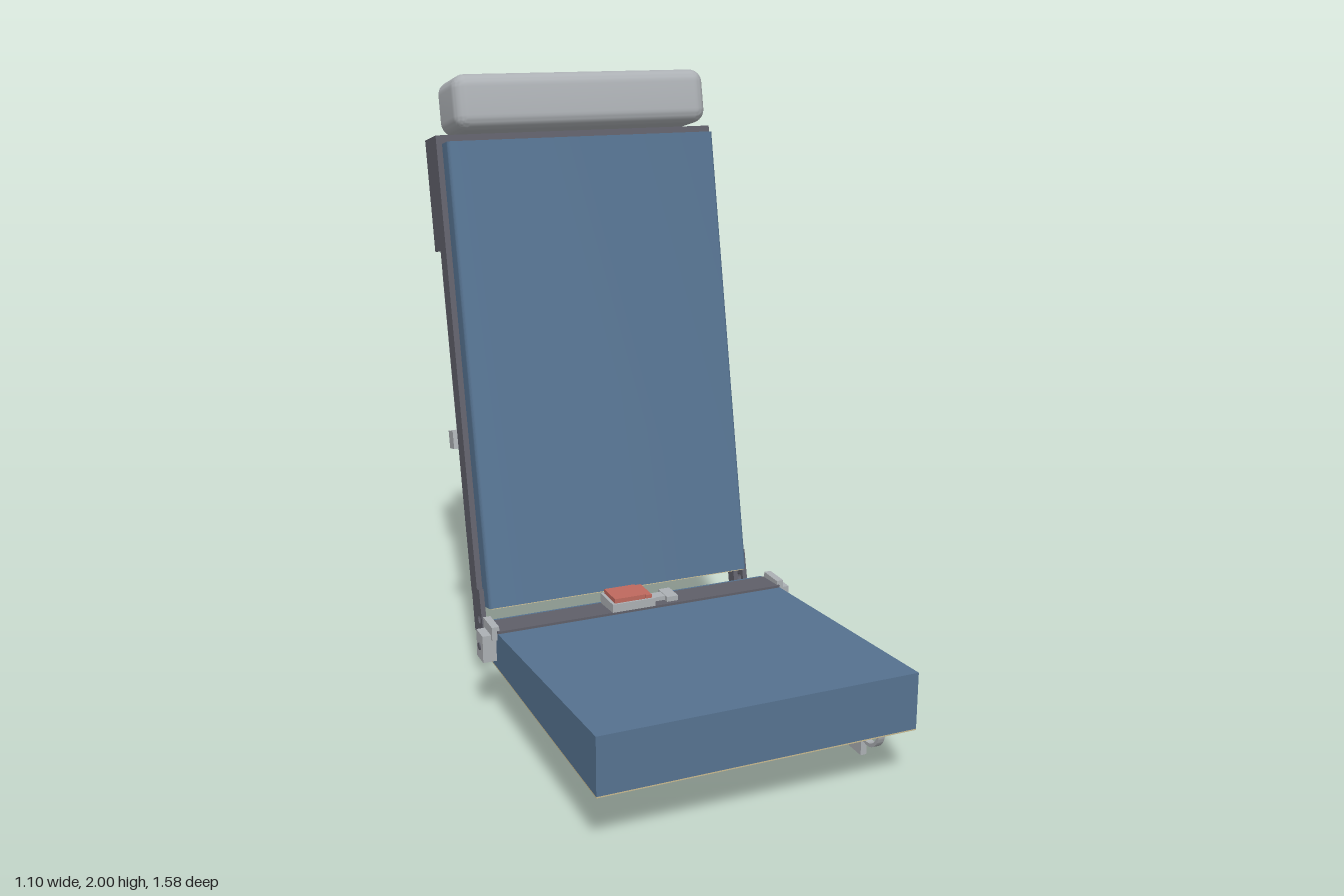
import * as THREE from 'three';
import { RoundedBoxGeometry } from 'three/addons/geometries/RoundedBoxGeometry.js';
import { toCreasedNormals } from 'three/addons/utils/BufferGeometryUtils.js';

const mat = (name, color) => Object.assign(new THREE.MeshStandardMaterial({ color }), { name });

export function createModel() {
  const blue = mat('blue upholstery', 0x567391);
  const slate = mat('slate shell', 0x60606a);
  const dark = mat('dark screen', 0x50515a);
  const grey = mat('light grey', 0xacb0b4);
  const steel = mat('steel', 0x9a9da2);
  const beige = mat('beige underside', 0xc8ba90);
  const gold = mat('gold cylinder', 0xc8a050);
  const red = mat('red button', 0xbf695e);

  const model = new THREE.Group();
  model.name = 'passengerSeat';

  const add = (parent, name, geometry, material) => {
    const m = new THREE.Mesh(geometry, material);
    m.name = name;
    parent.add(m);
    return m;
  };
  // Box given by its minimum and maximum on each axis
  const box = (parent, name, material, [x0, x1], [y0, y1], [z0, z1]) => {
    const m = add(parent, name, new THREE.BoxGeometry(x1 - x0, y1 - y0, z1 - z0), material);
    m.position.set((x0 + x1) / 2, (y0 + y1) / 2, (z0 + z1) / 2);
    return m;
  };
  // Side profile of [z, y] points, extruded from x0 to x1, with optional round hole [z, y, r]
  const profile = (parent, name, material, points, x0, x1, hole) => {
    const shape = new THREE.Shape(points.map(([z, y]) => new THREE.Vector2(z, y)));
    if (hole) shape.holes.push(new THREE.Path().absarc(...hole, 0, Math.PI * 2, true));
    const g = new THREE.ExtrudeGeometry(shape, { depth: x1 - x0, bevelEnabled: false, curveSegments: 10 });
    g.rotateY(-Math.PI / 2).translate(x1, 0, 0);
    return add(parent, name, g, material);
  };
  // Cylinder lying along z
  const rodZ = (name, material, r, x, y, z0, z1) => {
    const g = new THREE.CylinderGeometry(r, r, z1 - z0, 24).rotateX(Math.PI / 2);
    add(model, name, g, material).position.set(x, y, (z0 + z1) / 2);
  };

  // Seat cushion: wedge with beige underside and base plate
  profile(model, 'seatCushion', blue, [[-0.21, 0.182], [0.79, 0.182], [0.79, 0.36], [-0.21, 0.295]], -0.5, 0.5);
  box(model, 'seatUnderside', beige, [-0.5, 0.5], [0.178, 0.182], [-0.21, 0.79]);
  box(model, 'seatBasePlate', slate, [-0.495, 0.495], [0.172, 0.178], [-0.19, 0.67]);

  // Lap belt following the cushion slope
  profile(model, 'lapBelt', slate, [[-0.18, 0.29], [-0.07, 0.29], [-0.07, 0.312], [-0.18, 0.305]], -0.5, 0.5);
  box(model, 'buckleBody', grey, [-0.11, 0.04], [0.305, 0.34], [-0.18, -0.07]);
  box(model, 'buckleButton', red, [-0.1, 0.008], [0.335, 0.355], [-0.173, -0.077]);
  box(model, 'buckleButtonEnd', red, [0.01, 0.03], [0.335, 0.352], [-0.173, -0.077]);
  box(model, 'buckleTongue', grey, [0.03, 0.1], [0.312, 0.326], [-0.145, -0.105]);
  box(model, 'tongueLoop', grey, [0.09, 0.13], [0.308, 0.328], [-0.163, -0.088]);

  // Back group, reclined
  const back = new THREE.Group();
  back.name = 'backrest';
  back.position.set(0, 0.31, -0.26);
  back.rotation.x = -0.208;
  model.add(back);

  // Back cushion with eased front edges
  const w = 0.468, c = 0.015;
  const plan = new THREE.Shape();
  plan.moveTo(-w, 0.07).lineTo(-w, c).quadraticCurveTo(-w, 0, -w + c, 0);
  plan.lineTo(w - c, 0).quadraticCurveTo(w, 0, w, c).lineTo(w, 0.07);
  const cushion = new THREE.ExtrudeGeometry(plan, { depth: 1.52, bevelEnabled: false, curveSegments: 5 });
  cushion.rotateX(-Math.PI / 2);
  add(back, 'backCushion', toCreasedNormals(cushion, 0.6), blue);
  box(back, 'backCushionUnderside', beige, [-0.46, 0.46], [-0.004, 0.001], [-0.068, -0.008]);

  // Shell: body, upper housing, table recess and lower pocket
  box(back, 'shellBody', slate, [-0.487, 0.487], [0.045, 1.548], [-0.136, -0.068]);
  box(back, 'shellUpperHousing', slate, [-0.487, 0.487], [1.18, 1.548], [-0.204, -0.13]);
  box(back, 'tableRecess', slate, [-0.44, 0.44], [0.5, 1.19], [-0.158, -0.13]);
  box(back, 'lowerPocket', slate, [-0.41, 0.41], [0.045, 0.54], [-0.22, -0.13]);

  // Headrest: rounded front, flat back
  const hg = new RoundedBoxGeometry(0.88, 0.18, 0.26, 5, 0.045);
  const hp = hg.attributes.position;
  for (let i = 0; i < hp.count; i++) hp.setZ(i, Math.max(hp.getZ(i), -0.065));
  add(back, 'headrest', toCreasedNormals(hg, 0.7), grey).position.set(0, 1.642, -0.095);

  // Screen with raised frame
  box(back, 'screen', dark, [-0.25, 0.25], [1.235, 1.48], [-0.209, -0.2]);
  for (const s of [-1, 1]) {
    const y = s < 0 ? 1.205 : 1.48;
    box(back, 'screenFrameBar', slate, [-0.28, 0.28], [y, y + 0.03], [-0.218, -0.2]);
    box(back, 'screenFrameSide', slate, [s * 0.265 - 0.015, s * 0.265 + 0.015], [1.205, 1.51], [-0.218, -0.2]);
  }

  // Socket panel beside the screen
  box(back, 'socketPanel', slate, [0.33, 0.44], [1.3, 1.42], [-0.212, -0.2]);
  box(back, 'socketInset', dark, [0.345, 0.425], [1.315, 1.405], [-0.216, -0.21]);
  for (const x of [0.365, 0.4]) box(back, 'socketSlot', slate, [x, x + 0.008], [1.345, 1.375], [-0.22, -0.214]);

  // Folded table with cup ring, latch and hinges
  const tw = 0.47, r = 0.025, y0 = 0.53, y1 = 1.13;
  const t = new THREE.Shape();
  t.moveTo(-tw, y0).lineTo(tw, y0).lineTo(tw, y1 - r).quadraticCurveTo(tw, y1, tw - r, y1);
  t.lineTo(-tw + r, y1).quadraticCurveTo(-tw, y1, -tw, y1 - r);
  const table = new THREE.ExtrudeGeometry(t, { depth: 0.03, bevelEnabled: false, curveSegments: 5 });
  add(back, 'trayTable', table, grey).position.z = -0.202;
  add(back, 'cupRing', new THREE.TorusGeometry(0.1, 0.003, 6, 40), grey).position.set(0, 0.86, -0.202);
  const latch = new THREE.CylinderGeometry(0.035, 0.035, 0.03, 20).rotateX(Math.PI / 2).scale(1, 0.45, 1);
  add(back, 'tableLatch', latch, slate).position.set(0, 1.155, -0.195);
  box(back, 'latchStem', slate, [-0.015, 0.015], [1.14, 1.17], [-0.19, -0.13]);

  for (const s of [-1, 1]) {
    const hinge = add(back, 'tableHinge', new THREE.BoxGeometry(0.03, 0.06, 0.052), grey);
    hinge.position.set(s * 0.477, 0.55, -0.2);

    // Pivot bracket at the foot of the shell
    profile(model, 'pivotBracket', slate,
      [[-0.28, 0.215], [-0.315, 0.36], [-0.4, 0.34], [-0.372, 0.195]],
      s * 0.479 - 0.008, s * 0.479 + 0.008, [-0.32, 0.255, 0.015]);

    // Belt anchor with bolt
    box(model, 'beltAnchor', grey, s < 0 ? [-0.545, -0.5] : [0.5, 0.545], [0.205, 0.295], [-0.157, -0.09]);
    box(model, 'beltAnchorLug', grey, [s * 0.505 - 0.012, s * 0.505 + 0.012], [0.28, 0.325], [-0.172, -0.078]);
    const bolt = new THREE.CylinderGeometry(0.012, 0.012, 0.006, 16).rotateZ(Math.PI / 2);
    add(model, 'anchorBolt', bolt, slate).position.set(s * 0.546, 0.25, -0.123);
  }

  // Recline lever arm and gas cylinder on the left side
  profile(model, 'leverArm', slate,
    [[-0.28, 0.012], [-0.35, 0.34], [-0.395, 0.33], [-0.32, 0]], 0.455, 0.472);
  const pin = new THREE.CylinderGeometry(0.014, 0.014, 0.045, 16).rotateZ(Math.PI / 2);
  add(model, 'leverPin', pin, steel).position.set(0.45, 0.03, -0.3);
  rodZ('pistonRod', steel, 0.009, 0.438, 0.033, -0.3, 0.02);
  rodZ('gasCylinder', gold, 0.023, 0.438, 0.033, 0.01, 0.46);
  box(model, 'cylinderEnd', grey, [0.445, 0.465], [0.004, 0.066], [0.45, 0.58]);
  box(model, 'cylinderCap', grey, [0.42, 0.46], [0.012, 0.055], [0.445, 0.475]);

  // Half-round hook strap at the front
  const hook = new THREE.Shape();
  hook.absarc(0.612, 0.12, 0.066, Math.PI, Math.PI * 2, false);
  hook.absarc(0.612, 0.12, 0.055, Math.PI * 2, Math.PI, true);
  const hookGeo = new THREE.ExtrudeGeometry(hook, { depth: 0.022, bevelEnabled: false, curveSegments: 20 });
  hookGeo.rotateY(-Math.PI / 2).translate(0.467, 0, 0);
  add(model, 'hook', toCreasedNormals(hookGeo, 0.6), grey);

  return model;
}
